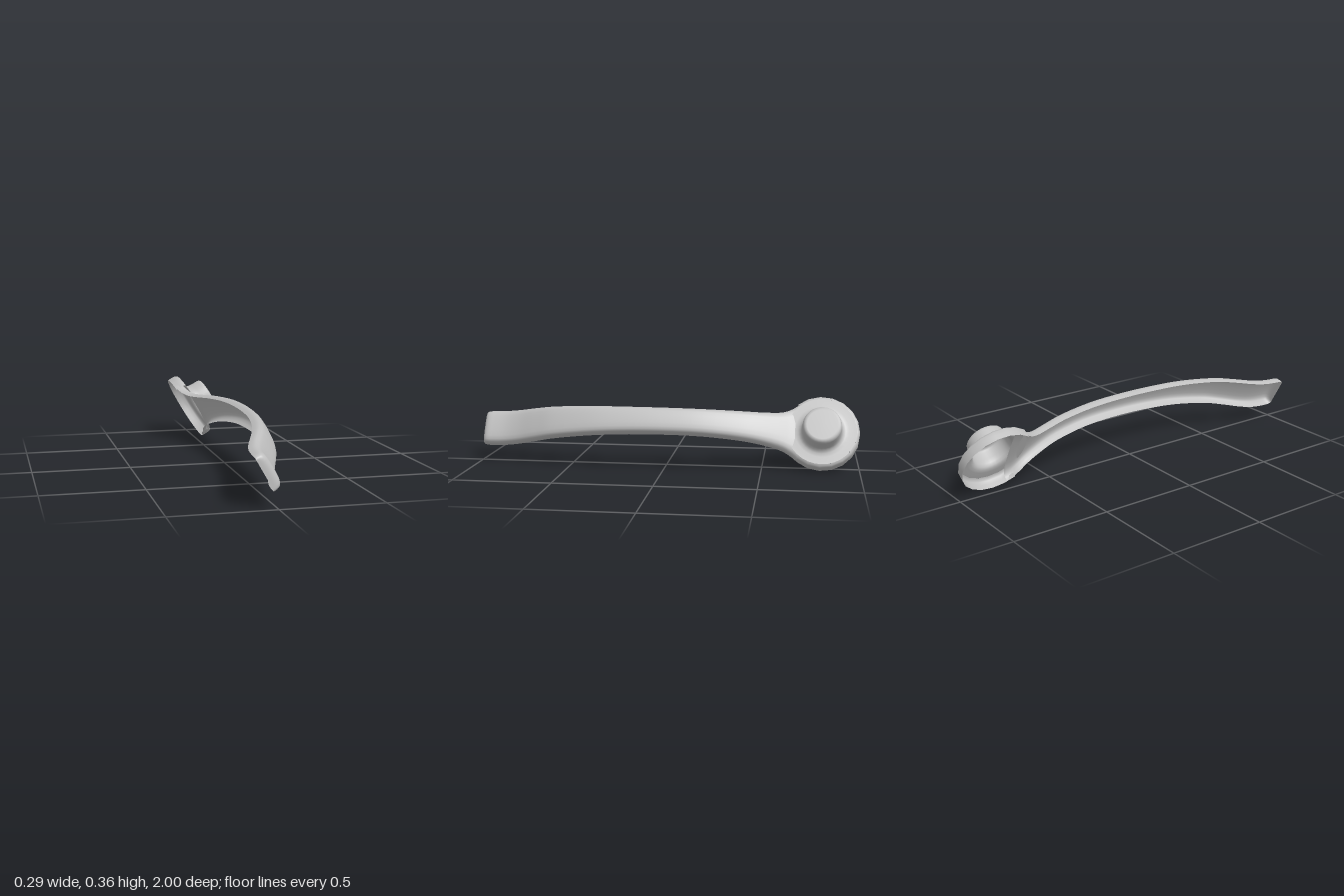
import * as THREE from 'three';

const metal = new THREE.MeshStandardMaterial({ color: 0xbfbfbf, side: THREE.DoubleSide });
metal.name = 'grey metal';

function lathe(name, profile, segments, start = 0, sweep = Math.PI * 2) {
  const pts = profile.map(([r, y]) => new THREE.Vector2(r, y));
  const mesh = new THREE.Mesh(new THREE.LatheGeometry(pts, segments, start, sweep), metal);
  mesh.name = name;
  mesh.position.z = -0.805;
  return mesh;
}

// Curved channel, open underneath: stations give z, height of the lower edge, half width
function makeArm() {
  const path = new THREE.CatmullRomCurve3([
    [-0.72, 0.003, 0.172], [-0.69, 0.004, 0.158], [-0.65, 0.012, 0.128], [-0.6, 0.03, 0.103],
    [-0.5, 0.066, 0.086], [-0.4, 0.097, 0.078], [-0.2, 0.133, 0.071], [0, 0.145, 0.07],
    [0.2, 0.143, 0.072], [0.4, 0.127, 0.078], [0.6, 0.086, 0.086], [0.7, 0.048, 0.09],
    [0.8, 0.006, 0.093], [0.87, -0.014, 0.094], [0.94, -0.022, 0.094], [1, -0.024, 0.093],
  ].map((p) => new THREE.Vector3(...p)));
  const half = [[1, 0], [0.99, 0.35], [0.93, 0.68], [0.8, 0.86], [0.6, 0.95], [0.3, 0.99]];
  const section = [...half.map(([x, y]) => [-x, y]), [0, 1], ...half.slice().reverse()];

  const rows = 80;
  const cols = section.length - 1;
  const geo = new THREE.PlaneGeometry(1, 1, cols, rows);
  const pos = geo.attributes.position;
  for (let j = 0; j <= rows; j++) {
    const s = 1 - j / rows;
    const p = path.getPoint(s * s);
    // start of the plane is the neck, its end the rounded tip
    const q = path.getPoint(1 - (1 - j / rows) ** 2);
    const d = THREE.MathUtils.clamp((q.x - 0.94) / 0.06, 0, 1);
    const k = Math.pow(Math.max(0, 1 - d ** 4), 0.3);
    for (let i = 0; i <= cols; i++) {
      const [x, y] = section[i];
      pos.setXYZ(j * (cols + 1) + i, x * q.z * (0.75 + 0.25 * k), q.y + y * 0.054 * k, q.x);
    }
  }
  geo.computeVertexNormals();
  const mesh = new THREE.Mesh(geo, metal);
  mesh.name = 'arm';
  return mesh;
}

export function createModel() {
  const model = new THREE.Group();
  model.name = 'crankHandle';

  const body = new THREE.Group();
  body.name = 'tiltedBody';
  body.rotation.z = -Math.PI / 3;
  body.position.set(-0.045, 0.174, 0);
  model.add(body);

  body.add(makeArm());

  // Hub plate with the filleted boss
  body.add(lathe('hubAndBoss', [
    [0.178, 0.061], [0.14, 0.061], [0.122, 0.063], [0.108, 0.07], [0.102, 0.085], [0.1, 0.11],
    [0.099, 0.145], [0.096, 0.157], [0.088, 0.164], [0.078, 0.166], [0, 0.166],
  ], 32));

  // Hub rim, left open where the arm joins
  const gap = THREE.MathUtils.degToRad(50);
  body.add(lathe('hubRim', [
    [0.195, 0], [0.195, 0.025], [0.194, 0.047], [0.188, 0.057], [0.178, 0.061],
  ], 14, gap, Math.PI * 2 - gap * 2));

  return model;
}
